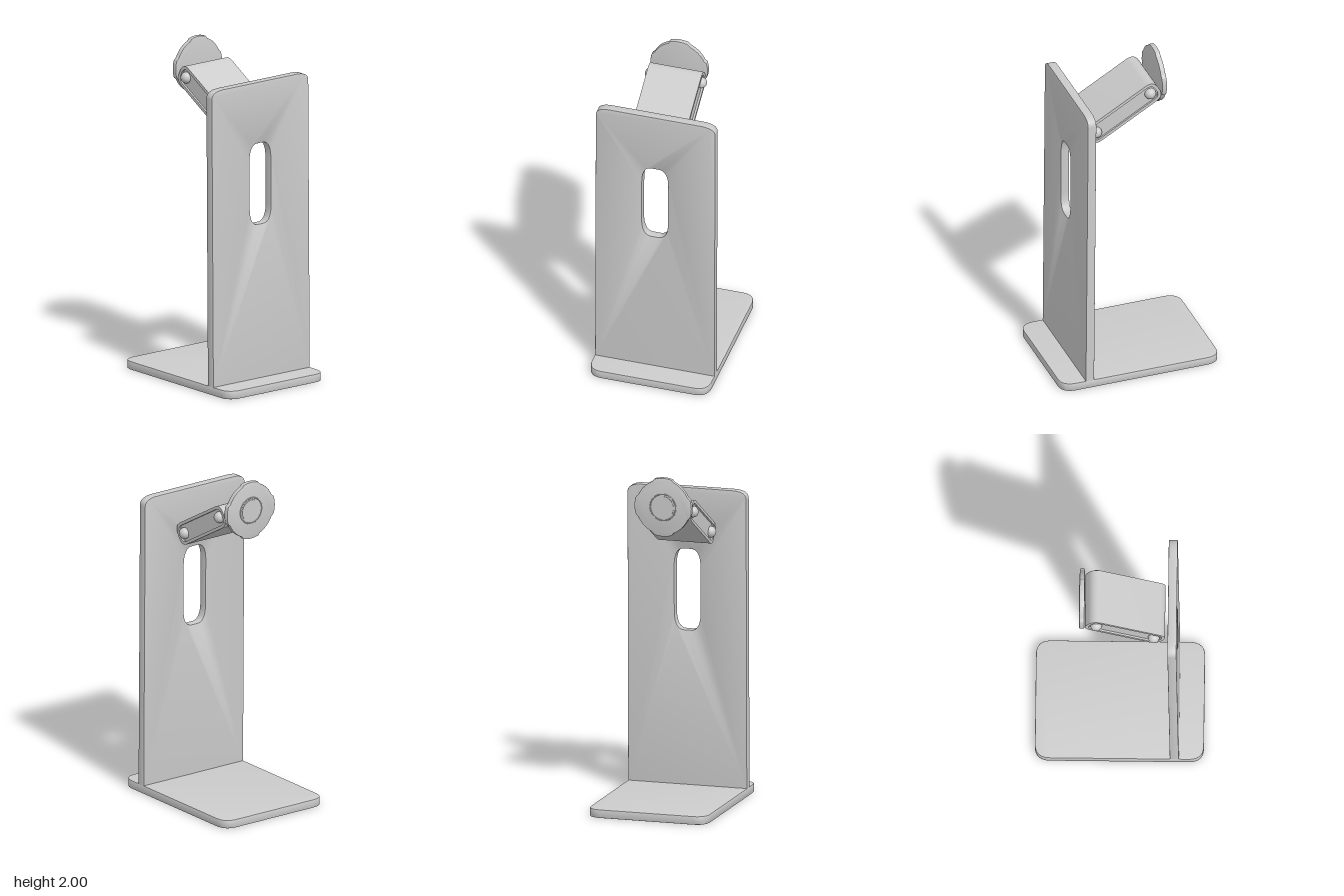
import * as THREE from 'three';
import { toCreasedNormals } from 'three/addons/utils/BufferGeometryUtils.js';

const grey = new THREE.MeshStandardMaterial({ color: 0xcccccc });

// Rounded rectangle outline; rx, ry are the corner sizes, square keeps the lower corners sharp
function softRect(path, x0, x1, y0, y1, rx, ry, square = false) {
  const bx = square ? 0 : rx, by = square ? 0 : ry;
  path.moveTo(x0 + bx, y0);
  path.lineTo(x1 - bx, y0);
  if (!square) path.quadraticCurveTo(x1, y0, x1, y0 + by);
  path.lineTo(x1, y1 - ry);
  path.quadraticCurveTo(x1, y1, x1 - rx, y1);
  path.lineTo(x0 + rx, y1);
  path.quadraticCurveTo(x0, y1, x0, y1 - ry);
  path.lineTo(x0, y0 + by);
  if (!square) path.quadraticCurveTo(x0, y0, x0 + bx, y0);
  return path;
}

function extrude(shape, depth, bevel = 0) {
  const g = new THREE.ExtrudeGeometry(shape, {
    depth: depth - 2 * bevel, curveSegments: 12, bevelEnabled: bevel > 0,
    bevelSize: bevel, bevelThickness: bevel, bevelOffset: -bevel, bevelSegments: 2,
  });
  g.translate(0, 0, bevel);
  return toCreasedNormals(g, 0.5);
}

export function createModel() {
  const model = new THREE.Group();
  model.name = 'stand';
  const add = (parent, name, geometry, x = 0, y = 0, z = 0) => {
    const mesh = new THREE.Mesh(geometry, grey);
    mesh.name = name;
    mesh.position.set(x, y, z);
    parent.add(mesh);
    return mesh;
  };

  // Flat base
  const baseShape = softRect(new THREE.Shape(), -0.365, 0.365, -0.492, 0.494, 0.085, 0.09);
  add(model, 'base', extrude(baseShape, 0.05, 0.004).rotateX(-Math.PI / 2));

  // Upright plate with a cable slot, leaning back very slightly
  const plateShape = softRect(new THREE.Shape(), -0.364, 0.364, 0, 1.785, 0.09, 0.05, true);
  plateShape.holes.push(softRect(new THREE.Path(), -0.082, 0.078, 0.93, 1.417, 0.06, 0.11));
  const plate = add(model, 'backPlate', extrude(plateShape, 0.052, 0.003), 0, 0.046, 0.294);
  plate.rotation.x = -0.008;

  // Tilted hinge arm: rim with slightly recessed side panels
  const arm = new THREE.Group();
  arm.name = 'hingeArm';
  arm.position.set(-0.0175, 1.692, 0.03);
  arm.rotation.x = Math.PI / 6;
  model.add(arm);
  const rim = softRect(new THREE.Shape(), -0.252, 0.252, -0.067, 0.067, 0.058, 0.058);
  rim.holes.push(softRect(new THREE.Path(), -0.234, 0.234, -0.049, 0.049, 0.042, 0.042));
  add(arm, 'armRim', extrude(rim, 0.325).rotateY(Math.PI / 2), -0.1625);
  const core = softRect(new THREE.Shape(), -0.237, 0.237, -0.052, 0.052, 0.045, 0.045);
  add(arm, 'armCore', extrude(core, 0.301).rotateY(Math.PI / 2), -0.1505);

  // Domed pivot pins on both sides
  for (const side of [-1, 1]) {
    for (const end of [-1, 1]) {
      add(arm, 'pivotPin', new THREE.SphereGeometry(0.034, 24, 16), side * 0.154, 0, end * 0.194);
    }
  }

  // Round mounting head with four shallow lobes
  const head = new THREE.Group();
  head.name = 'mountHead';
  head.position.set(-0.02, 1.825, -0.222);
  model.add(head);
  const points = [];
  for (let i = 0; i < 120; i++) {
    const a = (i / 120) * Math.PI * 2;
    const lobe = THREE.MathUtils.smoothstep(Math.cos(4 * a), -0.1, 0.35);
    const r = 0.165 + 0.01 * lobe;
    points.push(new THREE.Vector2(r * Math.cos(a), r * Math.sin(a)));
  }
  add(head, 'disc', extrude(new THREE.Shape(points), 0.03, 0.004), 0, 0, -0.015);

  // Raised ring and pad on the rear face
  add(head, 'ring', new THREE.TorusGeometry(0.078, 0.004, 8, 48), 0, 0, -0.014);
  add(head, 'pad', new THREE.CylinderGeometry(0.066, 0.066, 0.006, 48).rotateX(Math.PI / 2), 0, 0, -0.015);

  return model;
}
